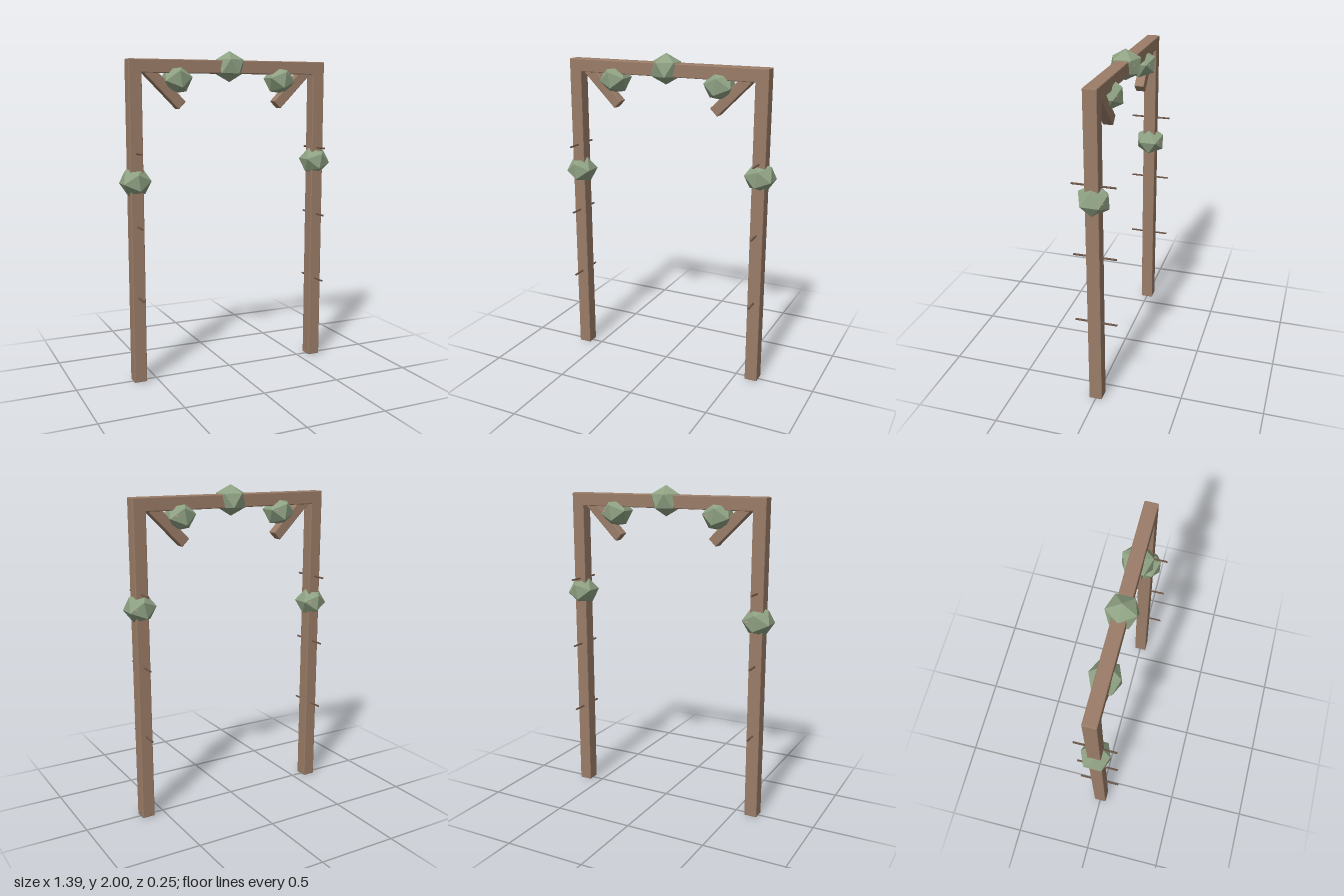
import * as THREE from 'three';
import { RoundedBoxGeometry } from 'three/addons/geometries/RoundedBoxGeometry.js';

export function createModel() {
  const model = new THREE.Group();
  const mat = (color) => new THREE.MeshStandardMaterial({ color, flatShading: true });
  const wood = mat(0x9b7d68), darkWood = mat(0x6b5547), leaf = mat(0x8fa283), pink = mat(0xd9a0a0);

  function add(name, geometry, material, x, y, z = 0, parent = model) {
    const mesh = new THREE.Mesh(geometry, material);
    mesh.name = name;
    mesh.position.set(x, y, z);
    parent.add(mesh);
    return mesh;
  }
  // Timber with a small chamfer on its edges
  const timber = (w, h, d) => new RoundedBoxGeometry(w, h, d, 1, 0.005);

  // Top beam
  add('topBeam', timber(1.3, 0.08, 0.08), wood, 0, 1.905);

  const pegGeometry = new THREE.CylinderGeometry(0.006, 0.006, 0.255, 8).rotateX(Math.PI / 2);
  for (const side of [-1, 1]) {
    const label = side > 0 ? 'left' : 'right';
    // Post with its cross pegs
    add(label + 'Post', timber(0.08, 1.945, 0.08), wood, side * 0.61, 0.9725);
    for (const y of [0.53, 0.965, 1.4]) add(label + 'Peg', pegGeometry, darkWood, side * 0.61, y);
    // Diagonal brace, running from the corner down and inward
    const brace = add(label + 'Brace', timber(0.31, 0.065, 0.06), wood, side * 0.428, 1.785);
    brace.rotation.z = side * Math.PI / 4;
  }

  // Faceted leaf clumps: x, y, turn
  const clumps = [
    [0, 1.908, 0.55], [-0.345, 1.83, 0.14], [0.345, 1.83, -0.14],
    [-0.61, 1.23, 0.1], [0.61, 1.315, -0.17],
  ];
  for (const [x, y, turn] of clumps) {
    const clump = new THREE.Group();
    clump.name = 'leafClump';
    clump.position.set(x, y, 0);
    const foliage = new THREE.IcosahedronGeometry(0.102, 0).rotateZ(turn).scale(0.97, 0.91, 1);
    add('foliage', foliage, leaf, 0, 0, 0, clump);
    // Tiny bud barely breaking the surface
    add('bud', new THREE.IcosahedronGeometry(0.012, 0), pink, 0.046, 0.005, -0.06, clump);
    model.add(clump);
  }
  return model;
}
